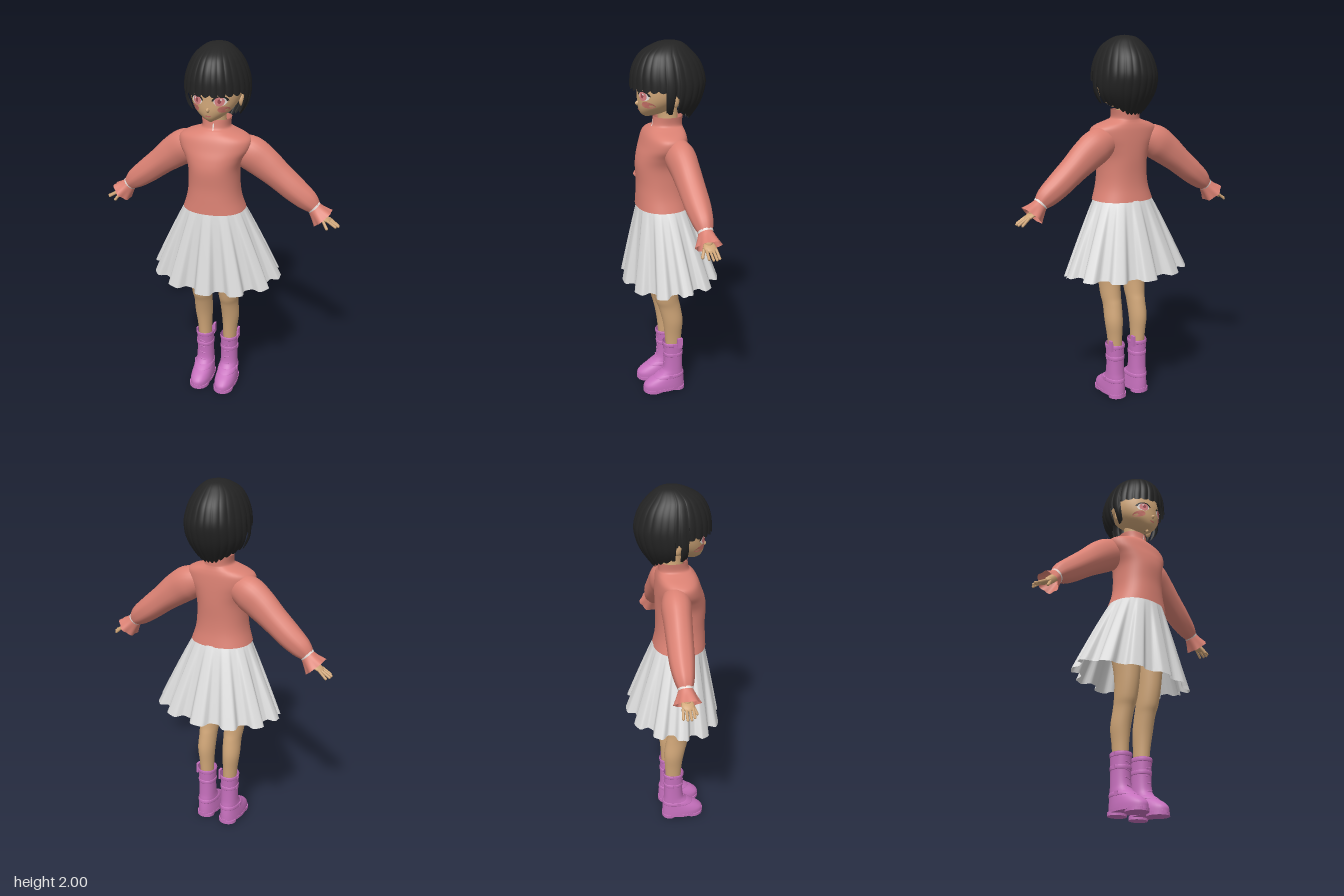
import * as THREE from 'three';

const mat = (name, color, double) => {
  const m = new THREE.MeshStandardMaterial({ color });
  m.name = name;
  if (double) m.side = THREE.DoubleSide;
  return m;
};

// Grid surface, closed around u; fn(angle, v) returns [x, y, z], v runs top to bottom
function surface(nu, nv, fn) {
  const pos = [], idx = [];
  for (let j = 0; j <= nv; j++)
    for (let i = 0; i < nu; i++) pos.push(...fn((i / nu) * Math.PI * 2, j / nv));
  for (let j = 0; j < nv; j++)
    for (let i = 0; i < nu; i++) {
      const a = j * nu + i, b = j * nu + (i + 1) % nu;
      idx.push(a, a + nu, b, b, a + nu, b + nu);
    }
  const g = new THREE.BufferGeometry();
  g.setAttribute('position', new THREE.Float32BufferAttribute(pos, 3));
  g.setIndex(idx);
  g.computeVertexNormals();
  return g;
}

// Smooth interpolation through rows of numbers
function sample(rows, t) {
  const f = Math.min(Math.max(t, 0), 1) * (rows.length - 1);
  const i = Math.min(Math.floor(f), rows.length - 2), k = f - i;
  const r = n => rows[Math.min(Math.max(n, 0), rows.length - 1)];
  return rows[i].map((_, c) => {
    const a = r(i - 1)[c], b = r(i)[c], d = r(i + 1)[c], e = r(i + 2)[c];
    return b + 0.5 * k * (d - a + k * (2 * a - 5 * b + 4 * d - e + k * (3 * (b - d) + e - a)));
  });
}
function atY(rows, y) {
  let lo = 0, hi = 1;
  for (let i = 0; i < 24; i++) {
    const m = (lo + hi) / 2;
    if (sample(rows, m)[0] > y) lo = m; else hi = m;
  }
  return sample(rows, (lo + hi) / 2);
}
const pw = (v, p) => Math.sign(v) * Math.abs(v) ** p;

// Loft through rows [y, centre x, half width, front z, back z]
const ring = ([y, cx, rx, zf, zb], a, p = 1) =>
  [cx + rx * pw(Math.sin(a), p), y, (zf + zb) / 2 + (zf - zb) / 2 * pw(Math.cos(a), p)];
const loft = (rows, nu = 32, nv = 32, p = 1) => surface(nu, nv, (a, v) => ring(sample(rows, v), a, p));

// Sweep through rows [x, y, z, half height, half depth] going outwards in the xy plane
const sweep = (rows, nu, nv, ruffle = () => 1) => surface(nu, nv, (a, v) => {
  const [x, y, z, h, d] = sample(rows, v);
  const p = sample(rows, v - 0.02), q = sample(rows, v + 0.02);
  const l = Math.hypot(q[0] - p[0], q[1] - p[1]), k = ruffle(a, v);
  const nx = -(q[1] - p[1]) / l, ny = (q[0] - p[0]) / l, s = Math.sin(a) * h * k;
  return [x + nx * s, y + ny * s, z + Math.cos(a) * d * k];
});

// Thin plate laid on the front of a loft
function plate(rows, geo, x, y, off) {
  geo.translate(x, y, 0);
  const p = geo.attributes.position;
  for (let i = 0; i < p.count; i++) {
    const [, cx, rx, zf, zb] = atY(rows, p.getY(i));
    const s = Math.min(Math.abs(p.getX(i) - cx) / rx, 0.99);
    p.setZ(i, (zf + zb) / 2 + (zf - zb) / 2 * Math.sqrt(1 - s * s) + off);
  }
  geo.computeVertexNormals();
  return geo;
}
const disc = (w, h) => new THREE.CircleGeometry(1, 20).scale(w, h, 1);
const ball = (x, y, z, a, b, c) => new THREE.SphereGeometry(1, 20, 14).scale(a, b, c).translate(x, y, z);

// Rounded rod between two points
function rod(a, b, r) {
  const A = new THREE.Vector3(...a), B = new THREE.Vector3(...b), d = B.clone().sub(A);
  const g = new THREE.CapsuleGeometry(r, d.length(), 4, 8);
  g.applyQuaternion(new THREE.Quaternion().setFromUnitVectors(new THREE.Vector3(0, 1, 0), d.normalize()));
  return g.translate(...A.add(B).multiplyScalar(0.5).toArray());
}
// Flat oval slab from y0 to y1
function slab(x, z, rx, rz, y0, y1) {
  const s = new THREE.Shape();
  s.absellipse(0, 0, rx, rz, 0, Math.PI * 2);
  return new THREE.ExtrudeGeometry(s, { depth: y1 - y0, bevelEnabled: false, curveSegments: 16 })
    .rotateX(Math.PI / 2).translate(x, y1, z);
}
function mirrored(geo) {
  const g = (geo.index ? geo.toNonIndexed() : geo.clone()).scale(-1, 1, 1);
  for (const at of Object.values(g.attributes))
    for (let i = 0; i < at.count; i += 3)
      for (let c = 0; c < at.itemSize; c++) {
        const k = at.itemSize, t = at.array[(i + 1) * k + c];
        at.array[(i + 1) * k + c] = at.array[(i + 2) * k + c];
        at.array[(i + 2) * k + c] = t;
      }
  return g;
}

export function createModel() {
  const skin = mat('skin', 0xd0a678), hair = mat('black hair', 0x232323, true);
  const knit = mat('coral sweater', 0xda8173, true), cloth = mat('pale skirt', 0xdcdcdc, true);
  const leather = mat('purple boots', 0xc670bd, true), white = mat('white', 0xece4e0);
  const pink = mat('pink iris', 0xd98082), dark = mat('dark pupil', 0x9c4a50), blush = mat('blush', 0xd0776c);
  const root = new THREE.Group();
  const add = (name, geo, m, parent = root) => {
    const mesh = new THREE.Mesh(geo, m);
    mesh.name = name;
    parent.add(mesh);
  };
  const pair = (name, geo, m, parent) => {
    add(name + 'Left', geo, m, parent);
    add(name + 'Right', mirrored(geo), m, parent);
  };

  // Head and face
  const head = new THREE.Group();
  head.name = 'head';
  head.position.x = 0.006;
  root.add(head);
  const skull = [[1.96, 0, 0, 0, 0], [1.93, 0, 0.07, 0.08, -0.09], [1.86, 0, 0.125, 0.14, -0.14],
    [1.79, 0, 0.135, 0.16, -0.14], [1.73, 0, 0.125, 0.163, -0.1], [1.68, 0, 0.095, 0.162, -0.04],
    [1.642, 0, 0.048, 0.15, 0.02], [1.622, 0, 0.008, 0.125, 0.1]];
  add('face', loft(skull, 40, 40), skin, head);
  add('nose', ball(0, 1.692, 0.16, 0.009, 0.013, 0.017), skin, head);
  add('mouth', plate(skull, disc(0.017, 0.004), 0, 1.66, 0.003), blush, head);
  pair('ear', ball(0.126, 1.715, 0.005, 0.014, 0.032, 0.022), skin, head);
  pair('eyeWhite', plate(skull, disc(0.031, 0.023), 0.06, 1.738, 0.003), white, head);
  pair('iris', plate(skull, disc(0.023, 0.024), 0.058, 1.738, 0.005), pink, head);
  pair('pupil', plate(skull, disc(0.008, 0.011), 0.058, 1.739, 0.007), dark, head);
  pair('eyeGlint', plate(skull, disc(0.004, 0.005), 0.066, 1.748, 0.009), white, head);
  pair('eyelash', plate(skull, new THREE.RingGeometry(0.84, 1.1, 20, 1, 0.1, 2.9).scale(0.035, 0.027, 1), 0.06, 1.737, 0.006), hair, head);
  pair('cheek', plate(skull, disc(0.025, 0.017), 0.073, 1.695, 0.003), blush, head);

  // Bob haircut: fringe, side locks, gap at the ear, long nape
  const bob = [[2, 0, 0, 0, 0], [1.99, 0, 0.055, 0.06, -0.065], [1.95, 0, 0.108, 0.138, -0.117],
    [1.9, 0, 0.14, 0.177, -0.16], [1.845, 0, 0.16, 0.196, -0.184], [1.79, 0, 0.169, 0.2, -0.194],
    [1.73, 0, 0.167, 0.198, -0.182], [1.685, 0, 0.152, 0.185, -0.164], [1.64, 0, 0.122, 0.15, -0.136],
    [1.595, 0, 0.085, 0.1, -0.102]];
  add('hair', surface(240, 28, (a, v) => {
    const d = Math.abs(a > Math.PI ? a - Math.PI * 2 : a) * 180 / Math.PI;
    const lock = Math.abs(Math.sin(a * 13 + Math.PI / 2)) ** 0.6;
    let hem = 1.765;
    if (d > 74) hem = 1.65;
    if (d > 87) hem = 1.735;
    if (d > 95) hem = 1.66 - 0.065 * Math.min((d - 95) / 60, 1);
    hem += 0.016 * (1 - lock);
    const p = ring(atY(bob, 2 - (2 - hem) * v ** 1.7), a);
    const k = 1 - 0.035 * v * (1 - lock);
    return [p[0] * k, p[1], p[2] * k];
  }), hair, head);

  // Neck and sweater
  add('neck', loft([[1.7, 0, 0.05, 0.07, -0.045], [1.62, 0, 0.048, 0.055, -0.05], [1.5, 0, 0.06, 0.06, -0.06]]), skin);
  const body = [[1.618, 0, 0.077, 0.078, -0.074], [1.575, 0, 0.074, 0.085, -0.072], [1.56, 0, 0.1, 0.1, -0.074],
    [1.54, 0, 0.16, 0.118, -0.08], [1.515, 0, 0.192, 0.132, -0.085], [1.47, 0, 0.188, 0.148, -0.089],
    [1.42, 0, 0.158, 0.166, -0.091], [1.36, 0, 0.136, 0.176, -0.091], [1.27, 0, 0.136, 0.172, -0.088],
    [1.2, 0, 0.146, 0.174, -0.092], [1.133, 0, 0.168, 0.177, -0.105]];
  add('sweater', loft(body, 48, 56, 0.9), knit);
  add('zip', plate(body, new THREE.PlaneGeometry(0.006, 0.035, 1, 6), 0.008, 1.585, 0.004), white);

  // Sleeves with flared cuffs
  pair('sleeve', sweep([[0.1, 1.46, -0.005, 0.07, 0.06], [0.175, 1.437, -0.01, 0.092, 0.077], [0.25, 1.388, -0.015, 0.088, 0.072],
    [0.33, 1.325, -0.02, 0.075, 0.068], [0.42, 1.253, -0.025, 0.067, 0.063], [0.49, 1.2, -0.027, 0.056, 0.05],
    [0.53, 1.165, -0.027, 0.036, 0.034]], 28, 30, (a, v) => 1 + 0.035 * v * Math.cos(a * 7)), knit);
  pair('wristBand', sweep([[0.523, 1.17, -0.027, 0.041, 0.039], [0.531, 1.163, -0.027, 0.039, 0.037]], 24, 1), white);
  pair('cuff', sweep([[0.525, 1.168, -0.027, 0.037, 0.035], [0.548, 1.142, -0.027, 0.046, 0.048],
    [0.576, 1.113, -0.027, 0.06, 0.066]], 48, 8, (a, v) => 1 + 0.07 * v * Math.cos(a * 6)), knit);

  // Hands
  pair('wrist', rod([0.51, 1.18, -0.027], [0.57, 1.125, -0.028], 0.022), skin);
  pair('palm', new THREE.SphereGeometry(1, 16, 12).scale(0.036, 0.013, 0.032).rotateZ(-0.45).translate(0.587, 1.113, -0.028), skin);
  for (let i = 0; i < 4; i++) {
    const z = -0.006 - i * 0.016, reach = [0.647, 0.659, 0.656, 0.643][i];
    pair('finger' + (i + 1), rod([0.605, 1.106, z], [reach, 1.08 - 0.002 * i, z * 1.15 + 0.003], 0.007), skin);
  }
  pair('thumb', rod([0.578, 1.11, -0.004], [0.605, 1.072, 0.014], 0.008), skin);

  // Box-pleated skirt, fuller and longer at the front
  add('skirt', surface(240, 20, (a, v) => {
    const c = Math.cos(a), fold = Math.tanh(3 * Math.cos(12 * a) + 0.4);
    const hem = 0.748 - (c > 0 ? 0.05 : 0.012) * Math.abs(c) ** 0.7 - 0.004 * fold;
    const w = v ** 0.92, k = 0.021 * v * fold;
    const row = [1.15 + (hem - 1.15) * v, 0, 0.157 + 0.187 * w + k, 0.167 + 0.07 * w + k, -0.098 - 0.142 * w - k];
    return ring(row, a);
  }), cloth);

  // Legs
  add('hips', ball(0, 1.05, 0.02, 0.145, 0.1, 0.09), skin);
  pair('leg', loft([[1.12, 0.08, 0.075, 0.1, -0.07], [0.9, 0.084, 0.077, 0.128, -0.058], [0.72, 0.081, 0.061, 0.12, -0.03],
    [0.6, 0.079, 0.055, 0.1, -0.034], [0.54, 0.078, 0.05, 0.078, -0.046], [0.45, 0.08, 0.049, 0.055, -0.06],
    [0.36, 0.077, 0.041, 0.042, -0.055], [0.26, 0.074, 0.036, 0.035, -0.05]], 28, 36), skin);

  // Boots: upper, soles, straps, laces and pull tabs
  const bx = 0.0735;
  const boot = [[0.315, bx, 0.049, 0.052, -0.062], [0.22, bx, 0.047, 0.047, -0.06], [0.15, bx, 0.048, 0.05, -0.061],
    [0.12, bx, 0.05, 0.066, -0.064], [0.095, bx, 0.053, 0.098, -0.067], [0.07, bx, 0.057, 0.14, -0.07],
    [0.045, bx, 0.06, 0.166, -0.072], [0.018, bx, 0.061, 0.169, -0.073]];
  pair('boot', loft(boot, 36, 40, 0.9), leather);
  pair('sole', slab(bx, 0.048, 0.063, 0.124, 0.012, 0.027), leather);
  pair('heel', slab(bx, -0.03, 0.052, 0.045, 0, 0.02), leather);
  pair('toeSole', slab(bx, 0.108, 0.057, 0.062, 0.002, 0.02), leather);
  for (const [i, y] of [0.302, 0.235, 0.1].entries()) {
    const band = [0.011, 0.008, -0.008, -0.011].map((dy, k) => {
      const [, cx, rx, zf, zb] = atY(boot, y + dy), o = k % 3 ? 0.003 : 0;
      return [y + dy, cx, rx + o, zf + o, zb - o];
    });
    pair('bootStrap' + (i + 1), loft(band, 32, 6, 0.9), leather);
    pair('buckle' + (i + 1), new THREE.BoxGeometry(0.008, 0.022, 0.02)
      .translate(bx + atY(boot, y)[2] + 0.002, y, i === 2 ? 0.02 : -0.005), leather);
  }
  for (let i = 0; i < 4; i++) {
    const y = 0.135 + i * 0.04, z = atY(boot, y)[3] - 0.001;
    pair('lace' + (i + 1), rod([bx - 0.014, y, z], [bx + 0.014, y + 0.008, z], 0.003), leather);
  }
  for (const s of [1, -1])
    add('pullTab' + (s > 0 ? 'Left' : 'Right'), new THREE.BoxGeometry(0.012, 0.06, 0.03)
      .translate(s * bx + 0.045, 0.312, -0.035), leather);
  return root;
}
